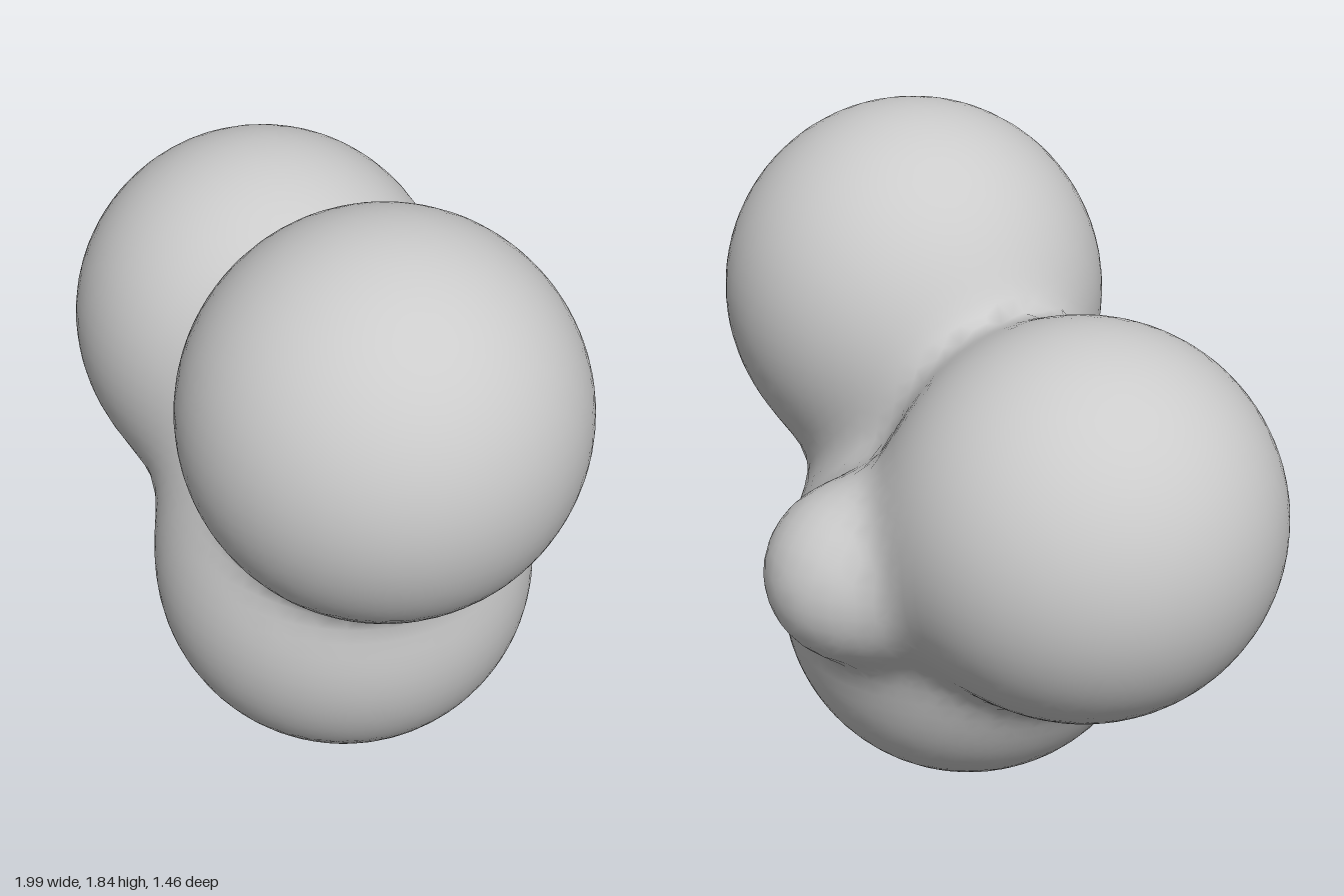
import * as THREE from 'three';

// Centre and radius of each lobe of the blob
const lobes = [
  { c: new THREE.Vector3(0.46, 1.31, 0.2), r: 0.535 },   // upper left lobe
  { c: new THREE.Vector3(-0.46, 1.0, -0.11), r: 0.535 }, // right lobe
  { c: new THREE.Vector3(0.1, 0.53, 0.04), r: 0.53 },    // bottom lobe
  { c: new THREE.Vector3(0.03, 0.82, -0.5), r: 0.225 },  // small rear knob
];
const BLEND = 0.075;

// Smooth union of the lobes: negative inside, positive outside
function field(p) {
  let sum = 0;
  for (const { c, r } of lobes) sum += Math.exp((r - p.distanceTo(c)) / BLEND);
  return -BLEND * Math.log(sum);
}

// Gradient of the field, a weighted mean of directions away from the lobes
function gradient(p) {
  const g = new THREE.Vector3();
  let sum = 0;
  for (const { c, r } of lobes) {
    const d = p.distanceTo(c);
    const w = Math.exp((r - d) / BLEND);
    g.addScaledVector(p.clone().sub(c), w / Math.max(d, 1e-6));
    sum += w;
  }
  return g.divideScalar(sum);
}

// Skin the field: one vertex per crossed cell, one quad per crossed grid edge
function skinGeometry(step) {
  const min = new THREE.Vector3(-1.12, -0.12, -0.87);
  const size = [2.24, 2.1, 1.74].map((s) => Math.ceil(s / step) + 1);
  const stride = [1, size[0], size[0] * size[1]];
  const at = (i, j, k) => new THREE.Vector3(i, j, k).multiplyScalar(step).add(min);
  const values = new Float32Array(size[0] * size[1] * size[2]);
  const eachCell = (extra, visit) => {
    for (let k = 0; k < size[2] - extra; k++)
      for (let j = 0; j < size[1] - extra; j++)
        for (let i = 0; i < size[0] - extra; i++)
          visit(i, j, k, i + j * stride[1] + k * stride[2]);
  };
  eachCell(0, (i, j, k, id) => { values[id] = field(at(i, j, k)); });

  const positions = [], normals = [], indices = [];
  const vertexOf = new Map();
  eachCell(1, (i, j, k, id) => {
    const corner = (n) => at(i + (n & 1), j + ((n >> 1) & 1), k + (n >> 2));
    const value = (n) => values[id + (n & 1) + ((n >> 1) & 1) * stride[1] + (n >> 2) * stride[2]];
    const p = new THREE.Vector3();
    let count = 0;
    for (let a = 0; a < 8; a++) {
      for (const bit of [1, 2, 4]) {
        const b = a | bit;
        if (b === a || (value(a) < 0) === (value(b) < 0)) continue;
        p.add(corner(a).lerp(corner(b), value(a) / (value(a) - value(b))));
        count++;
      }
    }
    if (!count) return;
    p.divideScalar(count);
    // Pull the vertex exactly onto the surface
    for (let n = 0; n < 3; n++) {
      const g = gradient(p);
      p.addScaledVector(g, -field(p) / Math.max(g.lengthSq(), 0.1));
    }
    vertexOf.set(id, positions.length / 3);
    positions.push(p.x, p.y, p.z);
    normals.push(...gradient(p).normalize().toArray());
  });

  eachCell(1, (i, j, k, id) => {
    for (let d = 0; d < 3; d++) {
      const inside = values[id] < 0;
      if (inside === (values[id + stride[d]] < 0)) continue;
      const u = stride[(d + 1) % 3], v = stride[(d + 2) % 3];
      const q = [id, id - u, id - u - v, id - v].map((n) => vertexOf.get(n));
      if (!inside) q.reverse();
      indices.push(q[0], q[1], q[2], q[0], q[2], q[3]);
    }
  });

  const geometry = new THREE.BufferGeometry();
  geometry.setAttribute('position', new THREE.Float32BufferAttribute(positions, 3));
  geometry.setAttribute('normal', new THREE.Float32BufferAttribute(normals, 3));
  geometry.setIndex(indices);
  return geometry;
}

export function createModel() {
  const group = new THREE.Group();
  group.name = 'blob';
  const body = new THREE.Mesh(
    skinGeometry(0.05),
    new THREE.MeshStandardMaterial({ color: 0xcccccc })
  );
  body.name = 'blendedLobes';
  group.add(body);
  return group;
}
